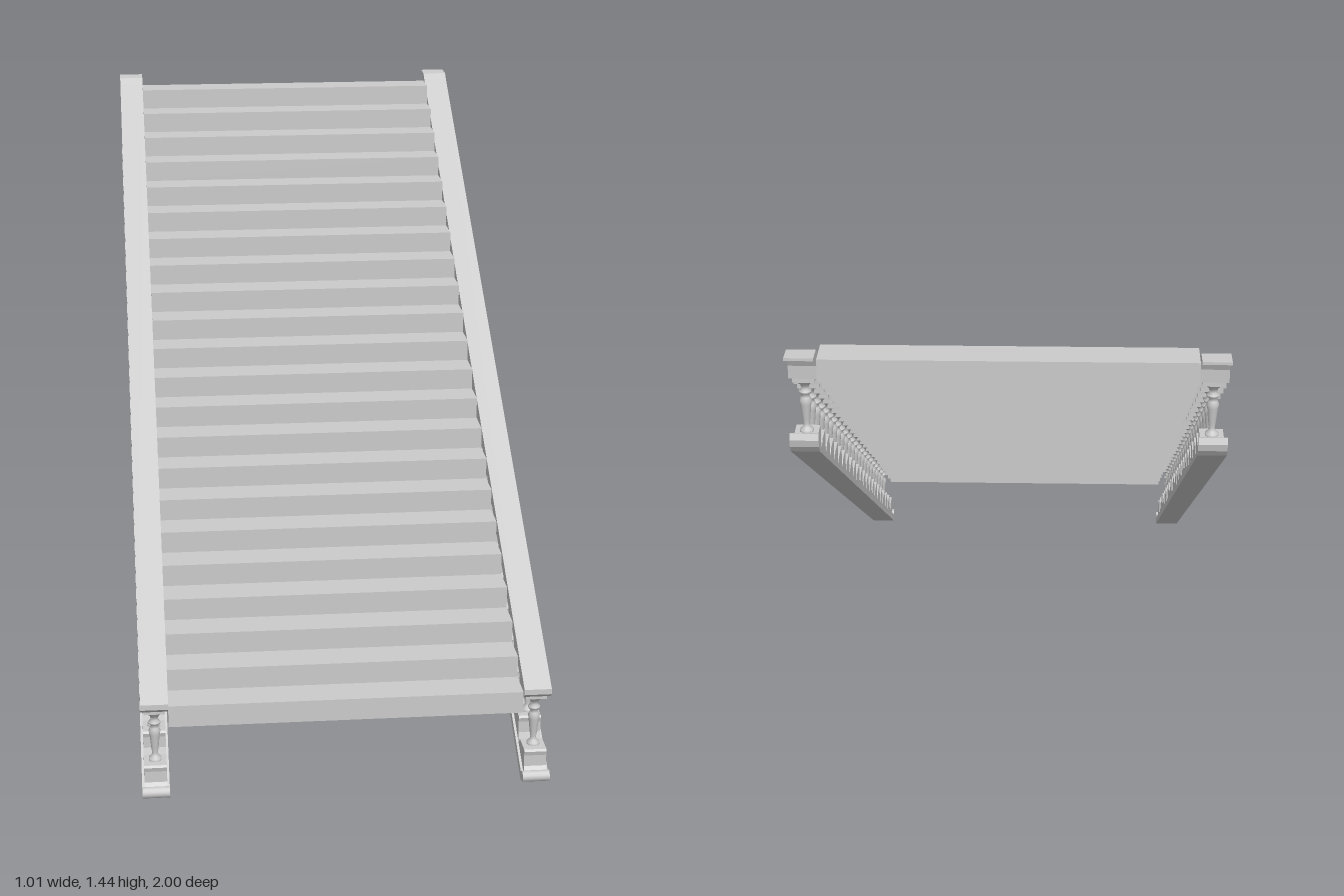
import * as THREE from 'three';

const COUNT = 23;            // balusters per side
const RUN = 0.0838, RISE = 0.0514, SLOPE = RISE / RUN;
const FIRST_U = -0.941;      // first baluster, u = -z
const SIDE_X = 0.472;

// Extrudes a (u, y) side profile across x; u points to the back
function extrudeAcross(points, width) {
  const shape = new THREE.Shape(points.map(([u, y]) => new THREE.Vector2(u, y)));
  const geo = new THREE.ExtrudeGeometry(shape, { depth: width, bevelEnabled: false });
  geo.translate(0, 0, -width / 2);
  geo.rotateY(Math.PI / 2);
  return geo;
}

// Sloping handrail with saw-tooth seats below and a level tip at the top
function handrailGeometry() {
  const top = u => 0.255 + (u + 0.98) * SLOPE;
  const under = u => top(u) - 0.036;
  const pts = [[-0.985, 0.252], [-0.985, 0.238], [-0.972, under(-0.972) + 0.003]];
  for (let i = 0; i < COUNT; i++) {
    const u = FIRST_U + i * RUN, y = 0.228 + i * RISE;
    pts.push([u - 0.026, y], [u + 0.028, y], [u + 0.03, under(u + 0.03)]);
  }
  pts.push([0.945, 1.418], [0.965, 1.427], [1, 1.433], [1, 1.44], [0.945, 1.438], [0.925, top(0.925)]);
  return extrudeAcross(pts, 0.068);
}

// Lower string: straight underside, a stepped seat for each baluster
function stringGeometry() {
  const base = u => 0.006 + (u + 0.98) * SLOPE;
  const pts = [[-0.975, 0.004], [0.945, base(0.945)], [0.945, base(0.945) + 0.03]];
  for (let i = COUNT - 1; i >= 0; i--) {
    const u = FIRST_U + i * RUN, y = 0.083 + i * RISE;
    pts.push([u + 0.043, y - 0.012], [u + 0.036, y - 0.012], [u + 0.031, y - 0.004],
      [u + 0.025, y], [u - 0.033, y], [u - 0.037, y - 0.005], [u - 0.034, y - 0.016], [u - 0.034, y - 0.045]);
  }
  pts.push([-0.985, 0.025]);
  return extrudeAcross(pts, 0.056);
}

export function createModel() {
  const model = new THREE.Group();
  const material = new THREE.MeshStandardMaterial({ color: 0xcccccc, side: THREE.DoubleSide });
  const add = (parent, name, geo, x = 0, y = 0, z = 0) => {
    const mesh = new THREE.Mesh(geo, material);
    mesh.name = name;
    mesh.position.set(x, y, z);
    parent.add(mesh);
    return mesh;
  };

  // Flight of solid steps
  const steps = new THREE.Group();
  steps.name = 'steps';
  const stepGeo = new THREE.BoxGeometry(0.876, 0.0559, 0.0885);
  for (let i = 0; i < 22; i++) {
    add(steps, 'step', stepGeo, 0, 0.213 + i * 0.0559, 0.929 - i * 0.0873);
  }
  model.add(steps);

  // Shared railing parts
  const handrail = handrailGeometry();
  const string = stringGeometry();
  const flange = extrudeAcross([[-0.985, 0], [-0.965, 0], [0.95, 1.183], [0.945, 1.194], [-0.985, 0.012]], 0.068);
  const scroll = new THREE.CylinderGeometry(0.014, 0.014, 0.068, 14).rotateZ(Math.PI / 2);
  const topCurl = extrudeAcross([[0.935, 1.175], [0.95, 1.183], [0.962, 1.2], [0.966, 1.218],
    [0.96, 1.233], [0.95, 1.23], [0.953, 1.213], [0.94, 1.2]], 0.068);
  const profile = [[0.016, 0], [0.016, 0.006], [0.009, 0.012], [0.007, 0.02], [0.009, 0.032], [0.013, 0.07],
    [0.015, 0.08], [0.011, 0.088], [0.009, 0.094], [0.015, 0.1], [0.015, 0.104], [0.009, 0.11],
    [0.011, 0.12], [0.022, 0.13], [0.023, 0.135]];
  const shaft = new THREE.LatheGeometry(profile.map(p => new THREE.Vector2(...p)), 14);
  const cap = new THREE.BoxGeometry(0.052, 0.012, 0.052);

  for (const side of [1, -1]) {
    const railing = new THREE.Group();
    railing.name = side > 0 ? 'leftRailing' : 'rightRailing';
    railing.position.x = side * SIDE_X;
    add(railing, 'handrail', handrail);
    add(railing, 'lowerString', string);
    add(railing, 'lowerFlange', flange);
    add(railing, 'frontScroll', scroll, 0, 0.016, 0.986);
    add(railing, 'topCurl', topCurl);
    for (let i = 0; i < COUNT; i++) {
      const baluster = new THREE.Group();
      baluster.name = 'baluster';
      baluster.position.set(0, 0.083 + i * RISE, -(FIRST_U + i * RUN));
      add(baluster, 'shaft', shaft);
      add(baluster, 'cap', cap, 0, 0.14, 0);
      railing.add(baluster);
    }
    model.add(railing);
  }
  return model;
}
